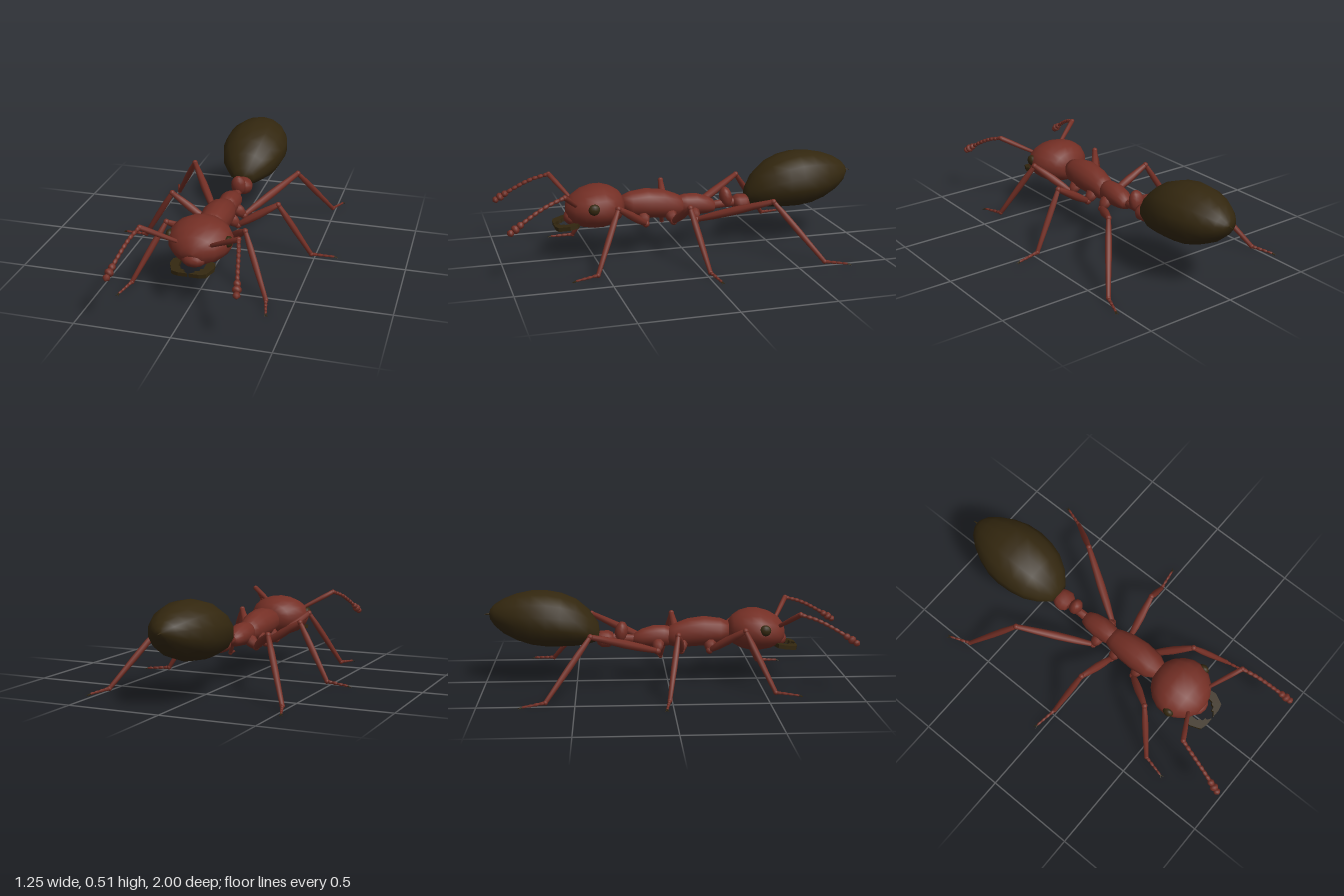
import * as THREE from 'three';

const red = new THREE.MeshStandardMaterial({ color: 0x742f25 });
red.name = 'rustRed';
const dark = new THREE.MeshStandardMaterial({ color: 0x33270f });
dark.name = 'darkBrown';

const V = (p) => new THREE.Vector3(...p);
const UP = new THREE.Vector3(0, 1, 0);

function add(parent, name, geometry, material) {
  const mesh = new THREE.Mesh(geometry, material);
  mesh.name = name;
  parent.add(mesh);
  return mesh;
}

// Skin over elliptical sections [z, centreY, radiusX, radiusY], listed from front to back
function loft(sections, sides = 14) {
  const pos = [], index = [];
  for (const [z, y, rx, ry] of sections) {
    for (let j = 0; j < sides; j++) {
      const a = ((j + 0.5) / sides) * Math.PI * 2;
      pos.push(Math.cos(a) * rx, y + Math.sin(a) * ry, z);
    }
  }
  for (let i = 0; i < sections.length - 1; i++) {
    for (let j = 0; j < sides; j++) {
      const a = i * sides + j, b = i * sides + (j + 1) % sides;
      index.push(a, a + sides, b, b, a + sides, b + sides);
    }
  }
  const g = new THREE.BufferGeometry();
  g.setAttribute('position', new THREE.Float32BufferAttribute(pos, 3));
  g.setIndex(index);
  g.computeVertexNormals();
  return g;
}

// Round limb from a to b, with radii spaced evenly along it and closed ends
function limb(parent, name, a, b, radii, material = red, sides = 8) {
  const from = V(a), dir = V(b).sub(from), len = dir.length();
  const pts = radii.map((r, i) => new THREE.Vector2(r, (len * i) / (radii.length - 1)));
  pts.unshift(new THREE.Vector2(0, 0));
  pts.push(new THREE.Vector2(0, len));
  const mesh = add(parent, name, new THREE.LatheGeometry(pts, sides), material);
  mesh.position.copy(from);
  mesh.quaternion.setFromUnitVectors(UP, dir.normalize());
  return mesh;
}

function ball(parent, name, centre, radii, material = red) {
  const mesh = add(parent, name, new THREE.SphereGeometry(1, 12, 8), material);
  mesh.position.set(...centre);
  mesh.scale.set(...radii);
  return mesh;
}

const lerp = (a, b, t) => a.map((v, i) => v + (b[i] - v) * t);

// Leg joints for the left side: hip, knee, ankle, toe
const LEGS = {
  front: [[0.085, 0.185, 0.225], [0.212, 0.318, 0.405], [0.36, 0.018, 0.55], [0.388, 0.008, 0.67]],
  middle: [[0.085, 0.185, 0.07], [0.30, 0.318, 0.04], [0.48, 0.018, -0.015], [0.605, 0.008, -0.036]],
  hind: [[0.085, 0.185, -0.06], [0.31, 0.318, -0.42], [0.485, 0.018, -0.65], [0.527, 0.008, -0.765]],
};

function buildLeg(name, joints, s) {
  const leg = new THREE.Group();
  leg.name = name;
  const [hip, knee, ankle, toe] = joints.map(([x, y, z]) => [x * s, y, z]);
  limb(leg, 'coxa', [0.03 * s, 0.235, hip[2] + 0.01], hip, [0.022, 0.034, 0.03, 0.018]);
  ball(leg, 'trochanter', hip, [0.02, 0.02, 0.02]);
  limb(leg, 'femur', hip, knee, [0.014, 0.021, 0.023, 0.019, 0.014]);
  ball(leg, 'kneeJoint', knee, [0.016, 0.016, 0.016]);
  limb(leg, 'tibia', knee, ankle, [0.012, 0.017, 0.017, 0.014, 0.012]);
  ball(leg, 'ankleJoint', ankle, [0.013, 0.013, 0.013]);
  // Tapering foot segments
  for (let i = 0; i < 4; i++) {
    const r = 0.01 - i * 0.001;
    limb(leg, 'footSegment', lerp(ankle, toe, i / 4), lerp(ankle, toe, (i + 1) / 4), [r * 0.65, r, r * 0.8], red, 6);
  }
  // Paired claws
  const d = V(toe).sub(V(ankle)).setY(0).normalize();
  for (const k of [-1, 1]) {
    const tip = [toe[0] + d.x * 0.02 + d.z * 0.008 * k, 0.002, toe[2] + d.z * 0.02 - d.x * 0.008 * k];
    limb(leg, 'claw', toe, tip, [0.004, 0.001], dark, 5);
  }
  return leg;
}

function buildAntenna(s) {
  const g = new THREE.Group();
  g.name = 'antenna';
  const base = [0.08 * s, 0.31, 0.60], elbow = [0.253 * s, 0.412, 0.692];
  ball(g, 'socket', base, [0.018, 0.018, 0.018]);
  limb(g, 'scape', base, elbow, [0.01, 0.012, 0.014, 0.014]);
  ball(g, 'elbowJoint', elbow, [0.014, 0.014, 0.014]);
  // Beaded whip ending in a thicker club
  const curve = new THREE.CatmullRomCurve3([
    V(elbow), V([0.277 * s, 0.385, 0.78]), V([0.297 * s, 0.34, 0.87]), V([0.315 * s, 0.29, 0.95]), V([0.324 * s, 0.26, 0.995]),
  ]);
  const n = 11;
  for (let i = 0; i < n; i++) {
    const r = [0.018, 0.023, 0.018][i - n + 3] ?? 0.011;
    limb(g, 'bead', curve.getPointAt(i / n).toArray(), curve.getPointAt((i + 1) / n).toArray(),
      [r * 0.65, r, r, i === n - 1 ? r * 0.3 : r * 0.7]);
  }
  return g;
}

// Toothed jaw blade, drawn in plan and laid flat
function buildMandible(s) {
  const plan = [[0.07, 0.58], [0.11, 0.60], [0.116, 0.64], [0.09, 0.70], [0.055, 0.71], [0.004, 0.71],
    [0.03, 0.693], [0.027, 0.682], [0.05, 0.677], [0.052, 0.662], [0.066, 0.655]];
  const shape = new THREE.Shape(plan.map(([x, z]) => new THREE.Vector2(x * s, z - 0.58)));
  const geo = new THREE.ExtrudeGeometry(shape, { depth: 0.022, bevelEnabled: false });
  geo.rotateX(Math.PI / 2 + 0.16);
  geo.translate(0, 0.222, 0.585);
  return geo;
}

export function createModel() {
  const ant = new THREE.Group();
  ant.name = 'ant';

  // Head and lip
  add(ant, 'head', loft([
    [0.648, 0.27, 0, 0], [0.64, 0.27, 0.06, 0.045], [0.61, 0.275, 0.113, 0.078], [0.56, 0.282, 0.152, 0.102],
    [0.50, 0.286, 0.17, 0.115], [0.45, 0.287, 0.165, 0.115], [0.40, 0.287, 0.141, 0.102],
    [0.36, 0.285, 0.103, 0.079], [0.338, 0.283, 0.065, 0.05], [0.333, 0.283, 0, 0],
  ], 18), red);
  ball(ant, 'lip', [0, 0.232, 0.61], [0.066, 0.042, 0.05]);

  // Thorax in two humps
  add(ant, 'foreThorax', loft([
    [0.345, 0.285, 0, 0], [0.335, 0.285, 0.05, 0.045], [0.29, 0.278, 0.075, 0.07], [0.20, 0.277, 0.085, 0.083],
    [0.11, 0.268, 0.079, 0.08], [0.04, 0.255, 0.064, 0.066], [0.0, 0.25, 0.05, 0.05], [-0.02, 0.25, 0, 0],
  ]), red);
  add(ant, 'rearThorax', loft([
    [0.05, 0.25, 0, 0], [0.03, 0.25, 0.045, 0.05], [-0.02, 0.252, 0.057, 0.06], [-0.08, 0.25, 0.061, 0.061],
    [-0.14, 0.243, 0.053, 0.05], [-0.18, 0.235, 0.038, 0.034], [-0.20, 0.235, 0, 0],
  ]), red);

  // Two-node waist
  limb(ant, 'waistStalk', [0, 0.235, -0.17], [0, 0.25, -0.40], [0.024, 0.024, 0.024, 0.028]);
  const node = ball(ant, 'frontWaistNode', [0, 0.275, -0.255], [0.043, 0.06, 0.036]);
  node.rotation.x = 0.15;
  add(ant, 'rearWaistNode', loft([
    [-0.295, 0.24, 0, 0], [-0.30, 0.24, 0.045, 0.034], [-0.325, 0.238, 0.062, 0.047], [-0.36, 0.238, 0.058, 0.046],
    [-0.385, 0.245, 0.045, 0.036], [-0.395, 0.245, 0, 0],
  ]), red);

  // Abdomen and sting
  add(ant, 'abdomen', loft([
    [-0.372, 0.28, 0, 0], [-0.38, 0.28, 0.06, 0.052], [-0.43, 0.31, 0.117, 0.095], [-0.50, 0.334, 0.16, 0.13],
    [-0.58, 0.35, 0.181, 0.148], [-0.66, 0.358, 0.187, 0.156], [-0.74, 0.363, 0.179, 0.15],
    [-0.82, 0.368, 0.153, 0.129], [-0.89, 0.373, 0.115, 0.097], [-0.94, 0.379, 0.073, 0.06],
    [-0.965, 0.383, 0.035, 0.028], [-0.972, 0.384, 0, 0],
  ]), dark);
  limb(ant, 'sting', [0, 0.385, -0.96], [0, 0.382, -1.0], [0.008, 0.001], dark, 6);

  // Paired parts
  for (const s of [1, -1]) {
    const side = s > 0 ? 'left' : 'right';
    ball(ant, side + 'Eye', [0.155 * s, 0.305, 0.52], [0.022, 0.03, 0.032], dark);
    add(ant, side + 'Mandible', buildMandible(s), dark);
    ant.add(buildAntenna(s));
    for (const [name, joints] of Object.entries(LEGS)) ant.add(buildLeg(name + 'Leg', joints, s));
  }
  return ant;
}
